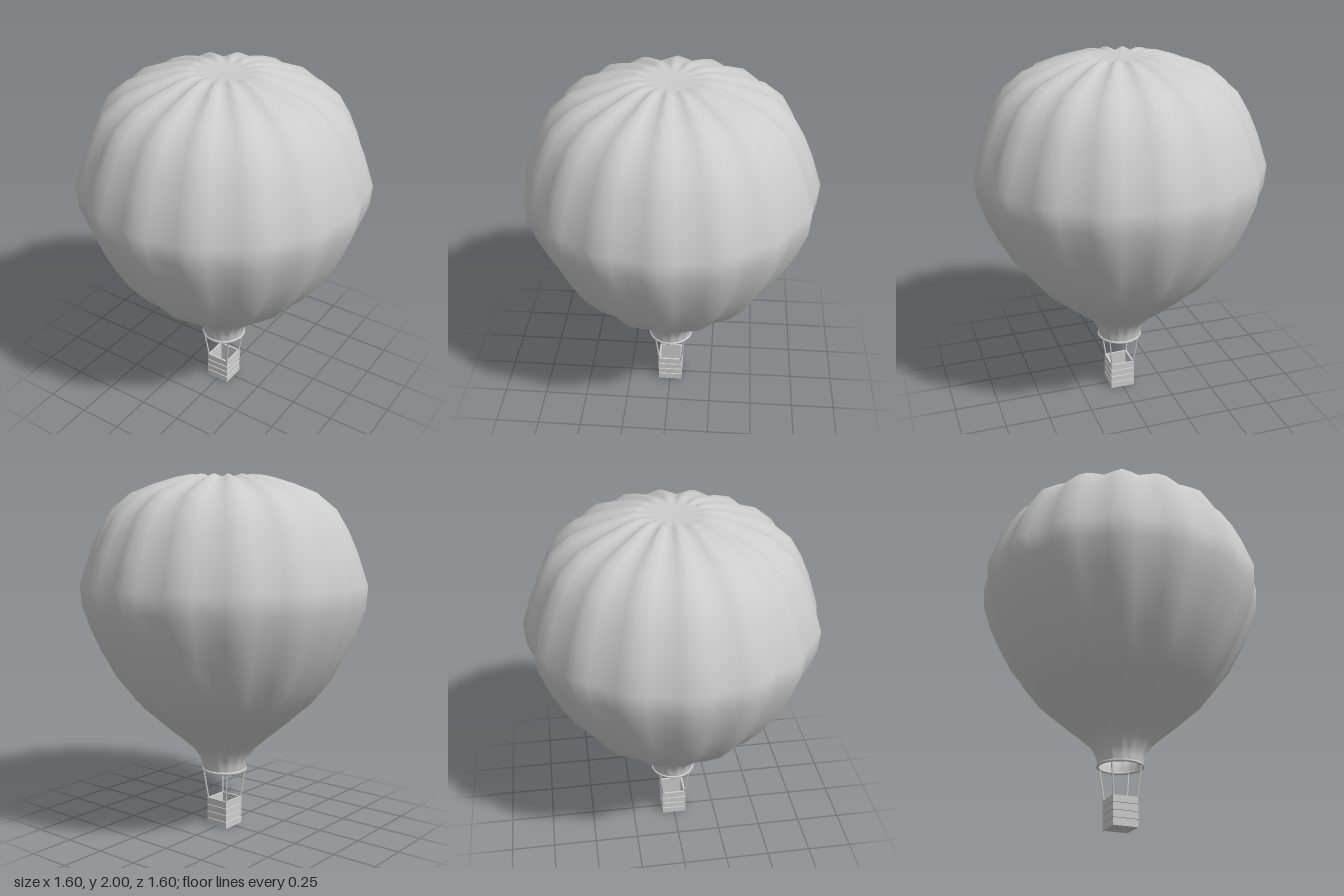
import * as THREE from 'three';
import { mergeVertices } from 'three/addons/utils/BufferGeometryUtils.js';

const LOBES = 16;
const grey = (opts = {}) => new THREE.MeshStandardMaterial({ color: 0xcccccc, ...opts });

function named(name, geometry, material) {
  const mesh = new THREE.Mesh(geometry, material);
  mesh.name = name;
  return mesh;
}

// Lobed envelope: a lathe whose surface is pushed in between the ridges
function envelopeGeometry() {
  // radius, height, depth of the furrows
  const profile = [
    [0.122, 0.335, 0], [0.128, 0.37, 0.003], [0.14, 0.407, 0.006], [0.175, 0.46, 0.01],
    [0.235, 0.515, 0.014], [0.36, 0.62, 0.02], [0.5, 0.745, 0.025], [0.61, 0.885, 0.028],
    [0.69, 1.03, 0.03], [0.745, 1.153, 0.03], [0.792, 1.29, 0.03], [0.8, 1.41, 0.03],
    [0.74, 1.587, 0.03], [0.69, 1.7, 0.03], [0.624, 1.81, 0.03], [0.515, 1.9, 0.028],
    [0.39, 1.95, 0.026], [0.27, 1.987, 0.024], [0.2, 2.0, 0.02], [0.165, 1.998, 0.014],
    [0.138, 1.988, 0.003], [0, 1.988, 0],
  ];
  const segments = LOBES * 4;
  const geo = new THREE.LatheGeometry(profile.map(([r, y]) => new THREE.Vector2(r, y)), segments);
  const pos = geo.attributes.position, nor = geo.attributes.normal;
  for (let i = 0; i < pos.count; i++) {
    const phi = Math.floor(i / profile.length) / segments * Math.PI * 2;
    const push = -profile[i % profile.length][2] * (0.5 - 0.5 * Math.cos(LOBES * phi));
    pos.setXYZ(i, pos.getX(i) + nor.getX(i) * push,
      pos.getY(i) + nor.getY(i) * push, pos.getZ(i) + nor.getZ(i) * push);
  }
  geo.deleteAttribute('normal');
  geo.deleteAttribute('uv');
  const merged = mergeVertices(geo, 1e-5);
  merged.computeVertexNormals();
  return merged;
}

// Square open basket with grooves between its woven bands
function basketGeometry() {
  const half = 0.071, groove = 0.066, inner = 0.06, bands = 4, top = 0.16;
  const pts = [[0, 0], [half, 0]];
  for (let i = 1; i < bands; i++) {
    const y = top * i / bands;
    pts.push([half, y - 0.003], [groove, y - 0.002], [groove, y + 0.002], [half, y + 0.003]);
  }
  pts.push([half, top], [inner, top], [inner, 0.012], [0, 0.012]);
  const geo = new THREE.LatheGeometry(
    pts.map(([x, y]) => new THREE.Vector2(x * Math.SQRT2, y)), 4);
  return geo.rotateY(Math.PI / 4);
}

function rope(from, to) {
  return new THREE.TubeGeometry(new THREE.LineCurve3(from, to), 1, 0.005, 8);
}

export function createModel() {
  const model = new THREE.Group();
  model.name = 'hotAirBalloon';

  model.add(named('envelope', envelopeGeometry(), grey({ side: THREE.DoubleSide })));

  // Ring around the open mouth
  const ring = named('mouthRing', new THREE.TorusGeometry(0.122, 0.008, 8, 48), grey());
  ring.rotation.x = Math.PI / 2;
  ring.position.y = 0.335;
  model.add(ring);

  model.add(named('basket', basketGeometry(), grey({ flatShading: true })));

  // Four ropes from the basket corners to the ring
  const ropes = new THREE.Group();
  ropes.name = 'ropes';
  for (const sx of [-1, 1]) for (const sz of [-1, 1]) {
    ropes.add(named('rope', rope(
      new THREE.Vector3(sx * 0.064, 0.14, sz * 0.064),
      new THREE.Vector3(sx * 0.086, 0.335, sz * 0.086)), grey()));
  }
  model.add(ropes);

  return model;
}
